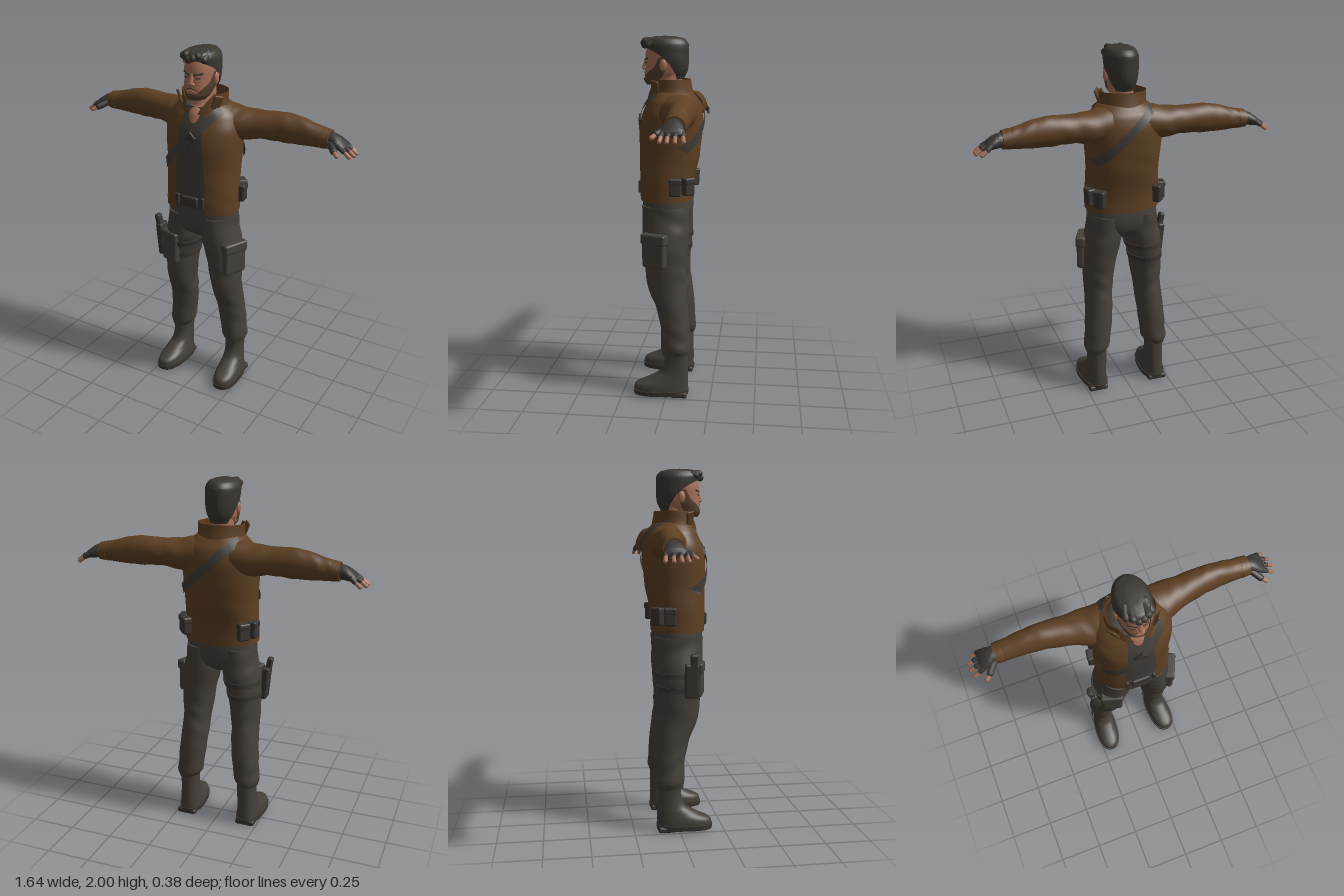
import * as THREE from 'three';
import { mergeVertices, toCreasedNormals } from 'three/addons/utils/BufferGeometryUtils.js';
import { RoundedBoxGeometry } from 'three/addons/geometries/RoundedBoxGeometry.js';

const TAU = Math.PI * 2;
const mat = (name, color, side = THREE.FrontSide) => {
  const m = new THREE.MeshStandardMaterial({ color, side });
  m.name = name;
  return m;
};

// Smoothly interpolated cross-section row at height y
function sample(rows, y) {
  let i = 0;
  while (i < rows.length - 2 && y > rows[i + 1][0]) i++;
  const t = THREE.MathUtils.clamp((y - rows[i][0]) / (rows[i + 1][0] - rows[i][0]), 0, 1);
  const [p, a, b, q] = [i - 1, i, i + 1, i + 2].map((k) => rows[THREE.MathUtils.clamp(k, 0, rows.length - 1)]);
  return a.map((v, k) => (k === 0 ? y : v + 0.5 * t * (b[k] - p[k] + t * (2 * p[k] - 5 * v + 4 * b[k] - q[k] + t * (3 * (v - b[k]) + q[k] - p[k])))));
}

// Loft of superellipse rows [y, cx, cz, rx, rz, startAngle, endAngle]; angle 0 faces +z
function loft(input, { p = 2, folds = 0, freq = 55, cap = true, seg = 36, steps = 5 } = {}) {
  const rows = input.map((r) => (r.length < 7 ? [...r.slice(0, 5), 0, TAU] : r));
  const rings = [];
  for (let i = 0; i < rows.length - 1; i++)
    for (let s = i ? 1 : 0; s <= steps; s++) rings.push(sample(rows, THREE.MathUtils.lerp(rows[i][0], rows[i + 1][0], s / steps)));
  if (cap) {
    const flat = (r) => [r[0], r[1], r[2], 0, 0, r[5], r[6]];
    rings.unshift(flat(rings[0]));
    rings.push(flat(rings[rings.length - 1]));
  }
  const pos = [], idx = [], sq = (v) => Math.sign(v) * Math.abs(v) ** (2 / p);
  rings.forEach(([y, cx, cz, rx, rz, a0, a1], i) => {
    for (let j = 0; j <= seg; j++) {
      const a = a0 + ((a1 - a0) * j) / seg;
      const k = 1 + folds * Math.sin(y * freq + 1.8 * Math.sin(a * 2 + y * 9)) * (0.6 + 0.4 * Math.sin(a + y * 17));
      pos.push(cx + rx * k * sq(Math.sin(a)), y, cz + rz * k * sq(Math.cos(a)));
      if (i && j < seg) {
        const d = i * (seg + 1) + j, c = d - seg - 1;
        idx.push(c, c + 1, d, c + 1, d + 1, d);
      }
    }
  });
  const g = new THREE.BufferGeometry();
  g.setAttribute('position', new THREE.Float32BufferAttribute(pos, 3));
  g.setIndex(idx);
  return toCreasedNormals(mergeVertices(g, 1e-5), 1);
}

// Loft along +x with rows [x, cy, cz, ry, rz]
const loftX = (rows, o) => loft(rows.map(([x, cy, ...r]) => [x, -cy, ...r]), o).rotateZ(-Math.PI / 2);

// Capsule from a to b
function limb(a, b, r) {
  const A = new THREE.Vector3(...a), d = new THREE.Vector3(...b).sub(A), len = d.length();
  const q = new THREE.Quaternion().setFromUnitVectors(new THREE.Vector3(0, 1, 0), d.normalize());
  return new THREE.CapsuleGeometry(r, len, 4, 10).applyQuaternion(q).translate(...A.addScaledVector(d, len / 2).toArray());
}
const ball = (x, y, z, sx, sy, sz) => new THREE.SphereGeometry(1, 16, 12).scale(sx, sy, sz).translate(x, y, z);
// Rounded box turned to face angle a, leaning by tilt
const block = (x, y, z, w, h, d, a = 0, tilt = 0, r = 0.01) =>
  new RoundedBoxGeometry(w, h, d, 2, r).rotateY(a).rotateZ(tilt).translate(x, y, z);

function mirrored(g) {
  const m = g.clone().scale(-1, 1, 1);
  const id = m.index ? [...m.index.array] : [...Array(m.attributes.position.count).keys()];
  for (let i = 0; i < id.length; i += 3) [id[i], id[i + 1]] = [id[i + 1], id[i]];
  m.setIndex(id);
  return m;
}

export function createModel() {
  const root = new THREE.Group();
  root.name = 'figure';
  const M = {
    jacket: mat('brown jacket', 0x5e4023, THREE.DoubleSide), pants: mat('trouser grey', 0x45403a),
    shirt: mat('shirt grey', 0x403d39), hair: mat('dark hair', 0x3a3630, THREE.DoubleSide),
    skin: mat('skin', 0xa87058), beard: mat('beard brown', 0x56402f, THREE.DoubleSide),
    glove: mat('glove', 0x3a3836), boot: mat('boot', 0x443f39),
    gear: mat('gear', 0x3a3632), strap: mat('strap', 0x423d37, THREE.DoubleSide),
  };
  const add = (name, g, m) => {
    const mesh = new THREE.Mesh(g, m);
    mesh.name = name;
    root.add(mesh);
  };
  const pair = (name, g, m) => {
    add('left ' + name, g, m);
    add('right ' + name, mirrored(g), m);
  };

  // Torso: jacket shell open at the front over a shirt
  const P = 2.3;
  const torso = [
    [1.11, 0, 0.015, 0.205, 0.145], [1.2, 0, 0.016, 0.205, 0.15], [1.35, 0, 0.002, 0.202, 0.165],
    [1.5, 0, -0.006, 0.212, 0.172], [1.58, 0, -0.014, 0.21, 0.165], [1.65, 0, -0.02, 0.185, 0.14],
    [1.69, 0, -0.015, 0.145, 0.112], [1.72, 0, -0.01, 0.1, 0.09]];
  const gap = [0.095, 0.09, 0.085, 0.075, 0.068, 0.06, 0.06, 0.06];
  const scaled = (rows, k) => rows.map(([y, x, z, a, b]) => [y, x, z, a * k, b * k]);
  const opened = (rows, widths) => rows.map((r, i) => {
    const a = Math.asin((widths[i] / r[3]) ** (P / 2));
    return [...r, a, TAU - a];
  });
  add('jacket body', loft(opened(torso, gap), { p: P, cap: false, folds: 0.008, freq: 30, seg: 56 }), M.jacket);
  add('jacket hem', loft(opened(scaled([torso[0], [1.15, 0, 0.016, 0.205, 0.147]], 1.02), [0.095, 0.093]), { p: P, cap: false }), M.jacket);
  add('shirt', loft(scaled(torso.slice(0, 7), 0.94), { p: P, folds: 0.006, freq: 40 }), M.shirt);
  add('collar', loft(opened([[1.66, 0, -0.005, 0.135, 0.128], [1.71, 0, -0.004, 0.128, 0.118], [1.765, 0, -0.005, 0.128, 0.108]],
    [0.03, 0.06, 0.095]), { cap: false }), M.jacket);
  pair('collar flap', block(0.112, 1.725, 0.07, 0.05, 0.075, 0.014, 0.9, -0.35, 0.006), M.jacket);

  // Straps laid over the torso surface
  function ribbon(x0, y0, x1, y1, side, w = 0.024) {
    const n = 28, pos = [], idx = [], L = Math.hypot(x1 - x0, y1 - y0);
    for (let i = 0; i <= n; i++) for (const s of [-1, 1]) {
      const x = x0 + ((x1 - x0) * i) / n - (s * w * (y1 - y0)) / L, y = y0 + ((y1 - y0) * i) / n + (s * w * (x1 - x0)) / L;
      const [, , cz, rx, rz] = sample(torso, Math.min(y, 1.72));
      const u = Math.min(Math.abs(x) / (rx + 0.012), 1);
      pos.push(x, y, cz + side * (rz + 0.011) * (1 - u ** P) ** (1 / P));
      if (i && s > 0) idx.push(2 * i - 2, 2 * i - 1, 2 * i, 2 * i - 1, 2 * i + 1, 2 * i);
    }
    const g = new THREE.BufferGeometry();
    g.setAttribute('position', new THREE.Float32BufferAttribute(pos, 3));
    g.setIndex(side * (x1 - x0) < 0 ? idx : idx.reverse());
    g.computeVertexNormals();
    return g;
  }
  add('front strap', ribbon(0.135, 1.685, -0.195, 1.335, 1), M.strap);
  add('back strap', ribbon(-0.13, 1.69, 0.195, 1.4, -1), M.strap);
  add('strap clip', block(0.0, 1.535, 0.163, 0.07, 0.05, 0.02, 0, 0.8, 0.006), M.gear);

  // Belt, buckle and hip pouches
  add('belt', loft(scaled([[1.145, 0, 0.016, 0.205, 0.147], [1.205, 0, 0.016, 0.205, 0.15]], 0.975), { p: P }), M.gear);
  add('buckle', block(0, 1.178, 0.162, 0.1, 0.06, 0.022), M.gear);
  for (const x of [-0.077, 0.077]) add('belt loop', block(x, 1.178, 0.158, 0.02, 0.065, 0.02, 0, 0, 0.005), M.gear);
  for (const [x, z, a] of [[0.205, -0.05, 1.7], [0.168, -0.115, 2.35]]) {
    pair('hip pouch', block(x, 1.2, z, 0.064, 0.095, 0.045, a), M.gear);
    pair('pouch flap', block(x, 1.232, z, 0.068, 0.036, 0.052, a), M.gear);
  }

  // Sleeves, gloves and fingers
  pair('sleeve', loftX([
    [0.1, 1.6, -0.05, 0.095, 0.11], [0.2, 1.59, -0.064, 0.088, 0.1], [0.3, 1.596, -0.08, 0.076, 0.08],
    [0.4, 1.597, -0.092, 0.079, 0.07], [0.46, 1.596, -0.097, 0.079, 0.064], [0.55, 1.588, -0.1, 0.068, 0.058],
    [0.62, 1.58, -0.1, 0.056, 0.054], [0.672, 1.576, -0.1, 0.046, 0.051]], { folds: 0.025, freq: 60 }), M.jacket);
  pair('cuff', loftX([[0.635, 1.578, -0.1, 0.055, 0.056], [0.678, 1.576, -0.1, 0.049, 0.053]]), M.jacket);
  pair('glove', loftX([
    [0.66, 1.575, -0.1, 0.038, 0.04], [0.69, 1.575, -0.1, 0.038, 0.043], [0.72, 1.567, -0.098, 0.034, 0.053],
    [0.75, 1.556, -0.098, 0.024, 0.056], [0.765, 1.55, -0.098, 0.014, 0.05]]), M.glove);
  [[-0.143, -0.155, 0.79], [-0.113, -0.118, 0.812], [-0.083, -0.08, 0.812], [-0.054, -0.045, 0.8]].forEach(([z0, z1, x]) => {
    const mid = [x - 0.032, 1.543, (z0 + z1) / 2];
    pair('gloved finger', limb([0.742, 1.557, z0], mid, 0.0135), M.glove);
    pair('fingertip', limb(mid, [x, 1.519, z1], 0.0105), M.skin);
  });
  pair('gloved thumb', limb([0.69, 1.565, -0.065], [0.725, 1.545, -0.022], 0.018), M.glove);
  pair('thumb tip', limb([0.725, 1.545, -0.022], [0.75, 1.53, -0.002], 0.012), M.skin);

  // Trousers
  const leg = [
    [0.245, 0.184, -0.05, 0.058, 0.072], [0.28, 0.178, -0.052, 0.074, 0.082], [0.33, 0.172, -0.05, 0.074, 0.083],
    [0.42, 0.163, -0.045, 0.078, 0.083], [0.52, 0.155, -0.028, 0.078, 0.092], [0.62, 0.149, 0, 0.079, 0.106],
    [0.72, 0.143, 0.01, 0.088, 0.112], [0.82, 0.136, 0.01, 0.097, 0.12], [0.92, 0.118, 0.01, 0.107, 0.128],
    [1.0, 0.106, 0.011, 0.1, 0.132], [1.08, 0.1, 0.012, 0.098, 0.132]];
  pair('trouser leg', loft(leg, { folds: 0.022, freq: 48 }), M.pants);
  add('trouser seat', loft([
    [0.94, 0, 0.008, 0.05, 0.07], [0.975, 0, 0.01, 0.15, 0.115], [1.02, 0, 0.011, 0.194, 0.133],
    [1.08, 0, 0.012, 0.198, 0.139], [1.16, 0, 0.015, 0.192, 0.138]], { p: P }), M.pants);

  // Thigh pockets, holster and its strap
  const pocket = (x, z, w, a) => {
    add('thigh pocket', block(x, 0.845, z, w, 0.18, 0.045, a, 0, 0.015), M.pants);
    add('pocket flap', block(x, 0.915, z, w + 0.012, 0.06, 0.056, a, 0, 0.012), M.pants);
  };
  pocket(0.222, 0.062, 0.14, 1.15);
  pocket(-0.155, 0.115, 0.115, -0.3);
  const band = (y) => loft([y - 0.014, y + 0.014].map((h) => {
    const [, x, z, a, b] = sample(leg, h);
    return [h, -x, z, a * 1.05, b * 1.05];
  }));
  for (const y of [0.8, 0.875]) add('holster strap', band(y), M.gear);
  add('holster', block(-0.245, 0.855, 0.06, 0.04, 0.19, 0.075, 0, 0.1), M.gear);
  add('holster grip', block(-0.263, 0.965, 0.07, 0.032, 0.08, 0.04, 0, 0.2), M.gear);

  // Boots
  const shoe = (rows, o) => loft(rows, o).translate(-0.185, 0, 0).rotateY(0.08).translate(0.185, 0, 0);
  pair('boot', shoe([
    [0.03, 0.185, 0.03, 0.07, 0.152], [0.07, 0.185, 0.025, 0.067, 0.148], [0.1, 0.185, -0.008, 0.06, 0.115],
    [0.14, 0.184, -0.042, 0.054, 0.08], [0.2, 0.183, -0.054, 0.052, 0.067], [0.28, 0.182, -0.052, 0.054, 0.068]], { p: 2.3 }), M.boot);
  pair('boot sole', shoe([[0.012, 0.185, 0.03, 0.072, 0.154], [0.038, 0.185, 0.03, 0.074, 0.157]], { p: 2.5 }), M.gear);
  pair('boot heel', block(0.185, 0.016, -0.07, 0.115, 0.032, 0.1, 0, 0, 0.012), M.gear);

  // Head and neck
  const head = [
    [1.735, 0, 0.075, 0.04, 0.05], [1.755, 0, 0.062, 0.058, 0.076], [1.79, 0, 0.042, 0.072, 0.096],
    [1.84, 0, 0.028, 0.079, 0.108], [1.9, 0, 0.022, 0.083, 0.113], [1.95, 0, 0.02, 0.076, 0.1], [1.975, 0, 0.02, 0.045, 0.06]];
  add('neck', loft([[1.6, 0, 0.06, 0.06, 0.07], [1.66, 0, 0.035, 0.068, 0.08], [1.7, 0, 0.012, 0.062, 0.072], [1.8, 0, 0.005, 0.06, 0.07]]), M.skin);
  add('head', loft(head, { p: 2.2 }), M.skin);
  add('nose', limb([0, 1.868, 0.128], [0, 1.826, 0.143], 0.012), M.skin);
  pair('nostril', ball(0.011, 1.822, 0.138, 0.009, 0.008, 0.012), M.skin);
  pair('ear', ball(0.085, 1.84, 0.028, 0.011, 0.032, 0.02), M.skin);
  pair('brow', limb([0.016, 1.87, 0.132], [0.052, 1.877, 0.113], 0.0065), M.hair);
  pair('eye', block(0.033, 1.853, 0.128, 0.025, 0.008, 0.008, 0.3, 0, 0.002), M.gear);

  // Beard: chin cover, sideburns and moustache
  const shell = (list) => list.map(([y, a0, a1]) => {
    const [, x, z, a, b] = sample(head, y);
    return [y, x, z, a + 0.004, b + 0.004, a0, a1];
  });
  add('chin beard', loft(shell([[1.735, -2, 2], [1.755, -1.7, 1.7], [1.772, -1.6, 1.6]]), { p: 2.2, cap: false }), M.beard);
  pair('sideburn', loft(shell([[1.77, 0.4, 1.7], [1.8, 0.75, 1.7], [1.83, 1.15, 1.7], [1.88, 1.35, 1.75]]), { p: 2.2, cap: false }), M.beard);
  pair('moustache', limb([0.002, 1.803, 0.138], [0.03, 1.79, 0.128], 0.005), M.beard);
  add('lips', block(0, 1.785, 0.137, 0.036, 0.008, 0.009, 0, 0, 0.003), M.skin);

  // Hair: cropped shell with a swept quiff
  const hair = [
    [1.765, -0.005, 0.058, 0.07, 2.1], [1.81, 0.0, 0.076, 0.096, 1.85], [1.86, 0.01, 0.087, 0.112, 1.6],
    [1.905, 0.018, 0.09, 0.12, 1.15], [1.935, 0.022, 0.091, 0.124, 0.6], [1.955, 0.026, 0.088, 0.124, 0],
    [1.98, 0.028, 0.072, 0.104, 0], [1.992, 0.028, 0.035, 0.055, 0], [1.995, 0.028, 0.001, 0.001, 0]];
  add('hair', loft(hair.map(([y, z, a, b, o]) => [y, 0, z, a, b, o, TAU - o]), { cap: false, folds: 0.012, freq: 20 }), M.hair);
  for (let i = 0; i < 6; i++) {
    const x = -0.06 + i * 0.024;
    add('hair tuft', limb([x * 0.8, 1.97, 0.06], [x, 1.957 + 0.012 * Math.sin(i * 2.1), 0.142 - x * x * 9], 0.02), M.hair);
  }
  return root;
}
